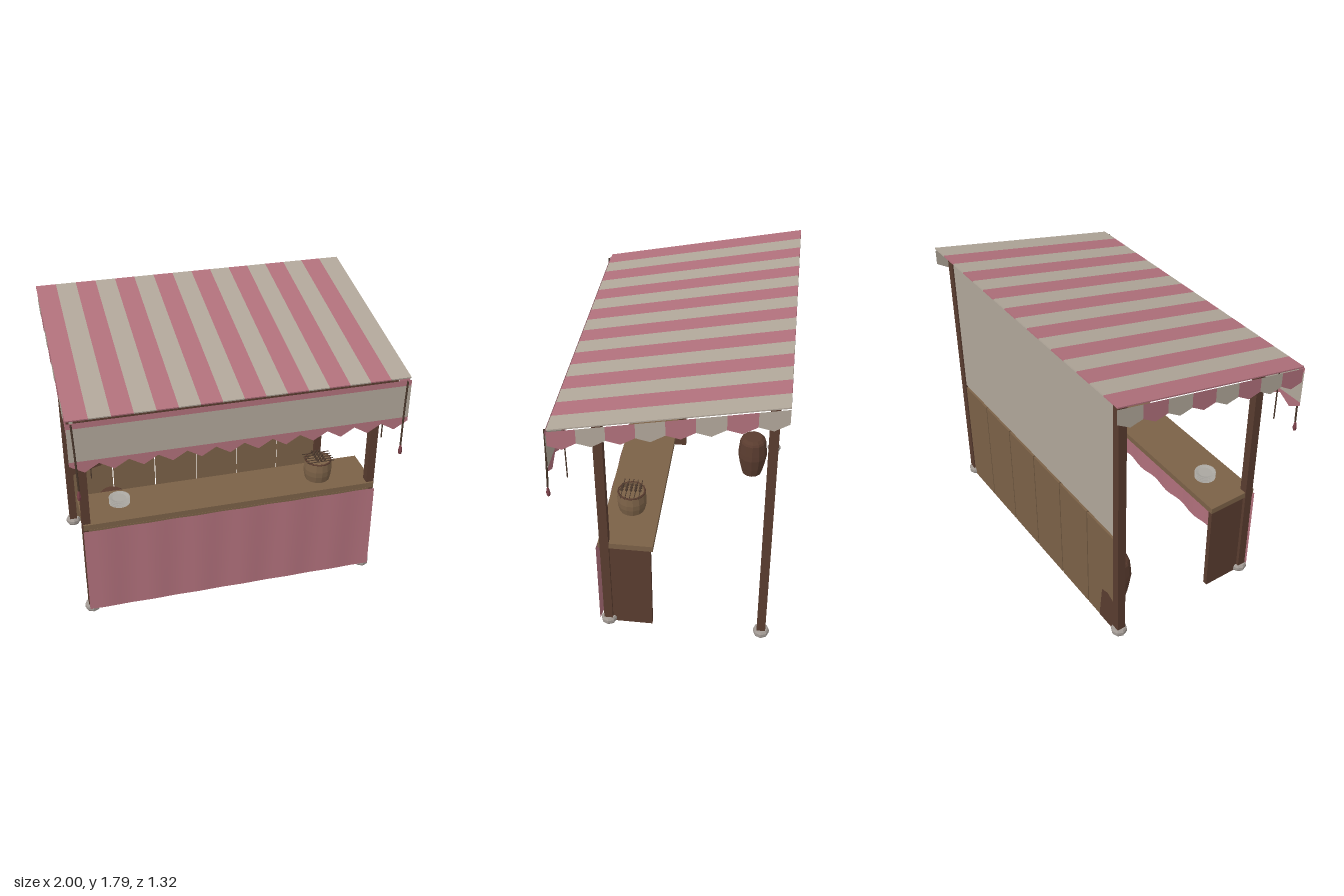
import * as THREE from 'three';

const mat = (name, color, side = THREE.FrontSide) => {
  const m = new THREE.MeshStandardMaterial({ color, side });
  m.name = name;
  return m;
};

export function createModel() {
  const stall = new THREE.Group();
  stall.name = 'marketStall';
  const red = mat('fadedRedCloth', 0xb0707b, THREE.DoubleSide);
  const cream = mat('creamCloth', 0xb0a699, THREE.DoubleSide);
  const darkWood = mat('darkWood', 0x593c2f);
  const wood = mat('wood', 0x7b6147);
  const barrelWood = mat('barrelWood', 0x5a3c2f);
  const stone = mat('stone', 0xa39b95);
  const plateGrey = mat('plateGrey', 0xa9a6a0);
  const rope = mat('rope', 0x4a382c);
  const tasselRed = mat('tasselRed', 0x7a4048);

  const add = (name, geo, material, x = 0, y = 0, z = 0, parent = stall) => {
    const m = new THREE.Mesh(geo, material);
    m.name = name;
    m.position.set(x, y, z);
    parent.add(m);
    return m;
  };
  const box = (name, material, w, h, d, x, y, z, parent) =>
    add(name, new THREE.BoxGeometry(w, h, d), material, x, y, z, parent);
  const lathe = (pts, sides) => {
    const g = new THREE.LatheGeometry(pts.map(p => new THREE.Vector2(...p)), sides).toNonIndexed();
    g.computeVertexNormals();
    return g;
  };
  const flat = pts => new THREE.ShapeGeometry(new THREE.Shape(pts.map(p => new THREE.Vector2(...p))));
  const tube = (pts, r) => new THREE.TubeGeometry(
    new THREE.CatmullRomCurve3(pts.map(p => new THREE.Vector3(...p))), 10, r, 5);

  // Height of the sloping roof at depth z
  const roofY = z => 1.53 + (0.615 - z) * 0.255 / 1.27;
  const slope = Math.atan2(0.255, 1.27);

  // Striped roof cloth
  const roof = new THREE.Group();
  roof.name = 'roof';
  roof.position.set(0, roofY(-0.02), -0.022);
  roof.rotation.x = slope;
  stall.add(roof);
  for (let i = 0; i < 16; i++)
    box('roofStripe', i % 2 ? cream : red, 0.125, 0.008, 1.3, -0.9375 + i * 0.125, 0, 0, roof);

  // Posts, stone feet, rafters and cross beams
  for (const s of [-1, 1]) {
    for (const [z, h] of [[0.36, 1.55], [-0.583, 1.745]]) {
      box('post', darkWood, 0.05, h, 0.053, s * 0.91, h / 2, z);
      add('postFoot', lathe([[0, 0], [0.043, 0], [0.049, 0.012], [0.049, 0.032], [0.04, 0.045], [0, 0.045]], 8),
        stone, s * 0.91, 0, z);
    }
    const rafter = box('rafter', darkWood, 0.035, 0.03, 1.24, s * 0.91, roofY(0) - 0.03, 0);
    rafter.rotation.x = slope;
  }
  for (const z of [0.59, 0.36, -0.583])
    box('crossBeam', darkWood, 1.84, 0.03, 0.03, 0, roofY(z) - 0.03, z);

  // Scalloped side valances, alternating in colour from front to back
  for (const s of [-1, 1])
    for (let i = 0; i < 8; i++) {
      const z0 = 0.62 - i * 0.16, z1 = z0 - 0.16, zm = z0 - 0.08;
      const top = z => roofY(z) - 0.015;
      const g = flat([[-z0, top(z0)], [-z0, top(z0) - 0.093], [-zm, top(zm) - 0.127],
        [-z1, top(z1) - 0.093], [-z1, top(z1)]]);
      g.rotateY(Math.PI / 2);
      add('sideValance', g, i % 2 ? cream : red, s * 0.995);
    }

  // Front valance: red band, cream middle and zigzag hem
  add('frontValanceTop', flat([[-1, 1.485], [1, 1.485], [1, 1.52], [-1, 1.52]]), red, 0, 0, 0.625);
  add('frontValance', flat([[-1, 1.275], [1, 1.275], [1, 1.485], [-1, 1.485]]), cream, 0, 0, 0.625);
  const hem = [[1, 1.275], [-1, 1.275]];
  for (let i = 0; i <= 24; i++) hem.push([-1 + i / 12, i % 2 ? 1.2 : 1.25]);
  add('frontHem', flat(hem), red, 0, 0, 0.625);

  // Tasselled cords and thin hanging strings
  for (const s of [-1, 1]) {
    add('cord', tube([[s * 0.972, 1.52, 0.632], [s * 0.966, 1.35, 0.638], [s * 0.96, 1.1, 0.65]], 0.006), rope);
    add('tassel', lathe([[0, 0], [0.009, 0.005], [0.013, 0.025], [0.006, 0.06], [0, 0.068]], 6),
      tasselRed, s * 0.962, 1.035, 0.65);
    box('string', rope, 0.006, 0.38, 0.006, s * 0.875, 1.3, 0.556);
  }

  // Back wall: plank panels below, cloth above
  for (let i = 0; i < 6; i++)
    box('backPanel', wood, 0.293, 0.76, 0.02, -0.755 + i * 0.302, 0.38, -0.592);
  add('backCloth', flat([[-0.9, 0.78], [0.9, 0.78], [0.9, 1.745], [-0.9, 1.745]]), cream, 0, 0, -0.6);
  // Dark stained corner of the back wall
  const stain = flat([[0.73, 0], [0.885, 0], [0.885, 0.24], [0.82, 0.27], [0.76, 0.25]]);
  stain.rotateY(Math.PI);
  add('stain', stain, darkWood, 0, 0, -0.604);
  add('innerStain', flat([[-0.885, 0.4], [-0.68, 0.45], [-0.72, 0.6], [-0.78, 0.73], [-0.885, 0.74]]),
    darkWood, 0, 0, -0.58);

  // Counter with side panels
  box('counterTop', wood, 1.86, 0.038, 0.325, 0, 0.653, 0.236);
  box('counterRail', wood, 1.8, 0.035, 0.02, 0, 0.62, 0.39);
  for (const s of [-1, 1])
    box('counterSide', darkWood, 0.03, 0.635, 0.27, s * 0.9, 0.3175, 0.225);

  // Gently pleated counter drape
  const drape = new THREE.PlaneGeometry(1.866, 0.605, 48, 1);
  const p = drape.attributes.position;
  for (let i = 0; i < p.count; i++) {
    const w = Math.sin(p.getX(i) * 21);
    const low = p.getY(i) < 0;
    p.setZ(i, w * (low ? 0.006 : 0.002));
    if (low) p.setY(i, p.getY(i) + w * 0.004);
  }
  drape.computeVertexNormals();
  add('drape', drape, red, 0, 0.33, 0.409);

  // Stack of plates
  for (let i = 0; i < 4; i++)
    add('plate', lathe([[0, 0], [0.045, 0], [0.066, 0.009], [0.06, 0.009], [0.042, 0.004], [0, 0.004]], 16),
      plateGrey, -0.68, 0.674 + i * 0.0125, 0.22);

  // Pot on the counter with skewers laid across it
  const pot = new THREE.Group();
  pot.name = 'pot';
  pot.position.set(0.603, 0.672, 0.245);
  stall.add(pot);
  add('potBody', lathe([[0, 0], [0.078, 0], [0.088, 0.045], [0.09, 0.08], [0.083, 0.135], [0.074, 0.137],
    [0.074, 0.115], [0, 0.115]], 14), wood, 0, 0, 0, pot);
  add('potRim', new THREE.TorusGeometry(0.081, 0.006, 5, 14).rotateX(Math.PI / 2), darkWood, 0, 0.134, 0, pot);
  for (let i = -2; i <= 2; i++) {
    box('skewer', rope, 0.18, 0.004, 0.004, 0, 0.147, i * 0.027, pot);
    for (let j = -1; j <= 1; j++)
      add('morsel', new THREE.IcosahedronGeometry(0.01, 0), rope, j * 0.023, 0.16, i * 0.027, pot);
  }

  // Barrel standing by the back wall
  add('barrel', lathe([[0, 0], [0.073, 0], [0.09, 0.07], [0.105, 0.16], [0.103, 0.2], [0.094, 0.285],
    [0.086, 0.3], [0.066, 0.318], [0, 0.318]], 12), barrelWood, -0.64, 0, -0.43);

  return stall;
}
